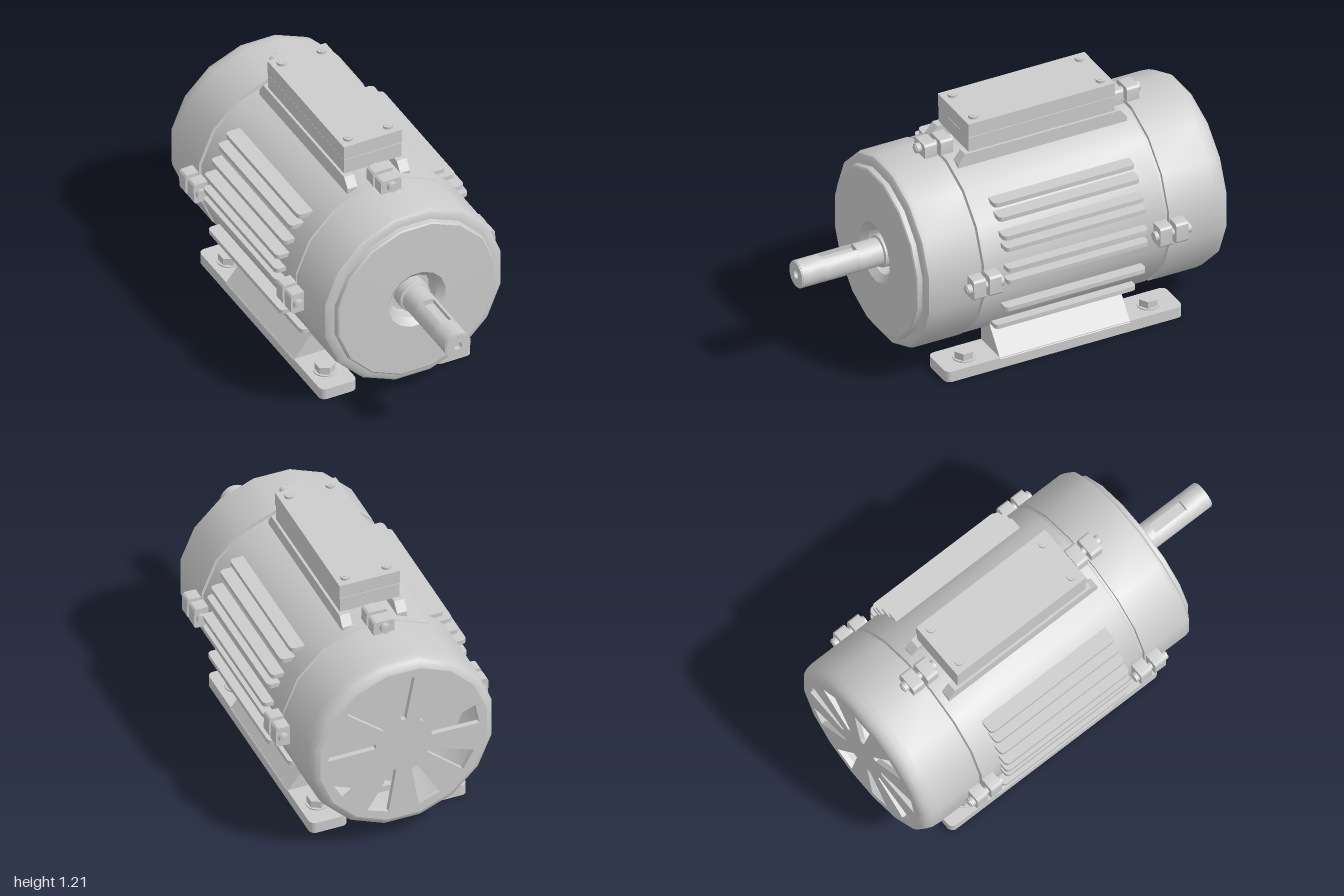
import * as THREE from 'three';
import { toCreasedNormals } from 'three/addons/utils/BufferGeometryUtils.js';

const CY = 0.55;      // motor axis height
const SIDES = 16;
const grey = new THREE.MeshStandardMaterial({ color: 0xcccccc });
const greyDouble = new THREE.MeshStandardMaterial({ color: 0xcccccc, side: THREE.DoubleSide });

function add(parent, name, geo, x = 0, y = 0, z = 0, mat = grey) {
  const m = new THREE.Mesh(geo, mat);
  m.name = name;
  m.position.set(x, y, z);
  parent.add(m);
  return m;
}

// Turned part about the z axis; profile is [radius, z] with rising z
function turned(profile, sides = SIDES, crease = 0.6) {
  const g = new THREE.LatheGeometry(profile.map(p => new THREE.Vector2(...p)), sides, Math.PI / sides);
  g.rotateX(Math.PI / 2);
  return toCreasedNormals(g, crease);
}

function prism(shape, depth, curveSegments = 4) {
  const g = new THREE.ExtrudeGeometry(shape, { depth, bevelEnabled: false, curveSegments });
  return toCreasedNormals(g, 0.6);
}

function polygon(points) {
  return new THREE.Shape(points.map(p => new THREE.Vector2(...p)));
}

function roundedRect(w, h, r) {
  const s = new THREE.Shape(), a = w / 2 - r, b = h / 2 - r, q = Math.PI / 2;
  s.absarc(a, b, r, 0, q);
  s.absarc(-a, b, r, q, 2 * q);
  s.absarc(-a, -b, r, 2 * q, 3 * q);
  s.absarc(a, -b, r, 3 * q, 4 * q);
  return s;
}

// Flat plate lying in xz with rounded corners, base at y = 0
const slab = (w, d, h, r) => prism(roundedRect(w, d, r), h).rotateX(-Math.PI / 2);

function circle(r) {
  const s = new THREE.Shape();
  s.absarc(0, 0, r, 0, Math.PI * 2);
  return s;
}

function buildHousing(root) {
  const body = new THREE.Group();
  body.name = 'housing';
  body.position.y = CY;
  root.add(body);

  add(body, 'statorBody', turned([[0, -0.7], [0.448, -0.7], [0.448, -0.67], [0.463, -0.665],
    [0.463, 0.27], [0.448, 0.275], [0.448, 0.3], [0, 0.3]]));

  // Front end bell with raised face and a conical bearing recess
  add(body, 'frontBell', turned([[0.44, 0.287], [0.466, 0.287], [0.466, 0.53], [0.46, 0.55], [0.445, 0.56],
    [0.415, 0.562], [0.412, 0.585], [0.405, 0.59], [0.148, 0.594], [0.115, 0.565], [0.105, 0.51], [0, 0.51]]));
  add(body, 'shaftCollar', turned([[0.078, 0.5], [0.078, 0.575], [0.068, 0.58], [0, 0.58]]));

  // Rear fan cover: open shell closed by a vented plate
  add(body, 'fanCover', turned([[0.42, -1], [0.437, -0.994], [0.452, -0.98], [0.462, -0.955],
    [0.466, -0.92], [0.466, -0.682], [0.44, -0.682]]), 0, 0, 0, greyDouble);
  const ring = [];
  for (let i = 0; i < SIDES; i++) {
    const a = (i + 0.5) * 2 * Math.PI / SIDES;
    ring.push([0.42 * Math.cos(a), 0.42 * Math.sin(a)]);
  }
  const plate = polygon(ring);
  for (let i = 0; i < 9; i++) {
    const a = Math.PI / 2 + i * 2 * Math.PI / 9, c = Math.cos(a), s = Math.sin(a);
    const wedge = [[0.14, -0.012], [0.37, -0.055], [0.37, 0.055], [0.14, 0.012]];
    plate.holes.push(new THREE.Path(wedge.map(([r, t]) => new THREE.Vector2(r * c - t * s, r * s + t * c))));
  }
  add(body, 'ventPlate', prism(plate, 0.025), 0, 0, -1);

  // Shaft in sections: plain, keyway, plain, drilled tip
  const R = 0.067, half = 0.028, a = Math.asin(half / R), q = Math.PI / 2;
  const keyed = new THREE.Shape();
  keyed.absarc(0, 0, R, q + a, q - a + 2 * Math.PI);
  keyed.lineTo(half, R - 0.028);
  keyed.lineTo(-half, R - 0.028);
  const drilled = circle(R);
  drilled.holes.push(circle(0.02));
  const sections = [[circle(R), 0.5, 0.7], [keyed, 0.7, 0.88], [circle(R), 0.88, 0.975], [drilled, 0.975, 0.995]];
  for (const [shape, z0, z1] of sections) add(body, 'shaft', prism(shape, z1 - z0, 12), 0, 0, z0);
  add(body, 'shaftTip', prism((() => {
    const s = circle(R - 0.004);
    s.holes.push(circle(0.02));
    return s;
  })(), 0.005, 12), 0, 0, 0.995);

  // Bolted lugs around both joints
  const lug = prism(roundedRect(0.104, 0.1, 0.015), 0.062);
  const head = new THREE.CylinderGeometry(0.024, 0.024, 0.025, 12).rotateX(q);
  const socket = new THREE.CylinderGeometry(0.02, 0.02, 0.006, 4).rotateX(q);
  const stud = new THREE.CylinderGeometry(0.018, 0.018, 0.12, 12).rotateX(q);
  for (const [joint, dir] of [[0.285, 1], [-0.675, -1]]) {
    for (let i = 0; i < 4; i++) {
      const clamp = new THREE.Group();
      clamp.name = 'jointClamp';
      clamp.position.z = joint;
      clamp.rotation.z = i * q + 0.02;
      body.add(clamp);
      add(clamp, 'lug', lug, 0, 0.475, 0.01);
      add(clamp, 'lug', lug, 0, 0.475, -0.072);
      add(clamp, 'stud', stud, 0, 0.492, 0);
      add(clamp, 'boltHead', head, 0, 0.492, dir * 0.082);
      add(clamp, 'boltSocket', socket, 0, 0.492, dir * 0.096);
      add(clamp, 'nut', head, 0, 0.492, -dir * 0.078);
    }
  }
}

function buildFins(root) {
  // [height, tip distance] for each side
  const fins = {
    1: [[0.88, 0.37], [0.832, 0.42], [0.755, 0.465], [0.705, 0.485], [0.605, 0.505], [0.54, 0.505], [0.38, 0.48], [0.23, 0.38]],
    [-1]: [[0.868, 0.39], [0.82, 0.43], [0.745, 0.465], [0.675, 0.5], [0.6, 0.505], [0.54, 0.505], [0.36, 0.48], [0.215, 0.375]],
  };
  for (const side of [1, -1]) {
    for (const [y, tip] of fins[side]) {
      const inner = Math.sqrt(0.44 ** 2 - (y - CY) ** 2) - 0.05;
      add(root, 'coolingFin', slab(tip - inner, 0.725, 0.022, 0.022), side * (tip + inner) / 2, y - 0.011, -0.193);
    }
  }
}

function buildTerminalBox(root) {
  const box = new THREE.Group();
  box.name = 'terminalBox';
  box.position.set(-0.013, 0, -0.195);
  root.add(box);
  add(box, 'boxBase', new THREE.BoxGeometry(0.295, 0.075, 0.75), 0, 1.0825, 0);
  add(box, 'gasket', new THREE.BoxGeometry(0.283, 0.012, 0.738), 0, 1.122, 0);
  add(box, 'lid', new THREE.BoxGeometry(0.3, 0.07, 0.755), 0, 1.16, 0);
  // Rails with sloped ends carrying the box
  const rail = prism(polygon([[-0.435, 0.93], [0.435, 0.93], [0.435, 1.0], [0.4, 1.046], [-0.4, 1.046], [-0.435, 1.0]]), 0.05);
  rail.rotateY(-Math.PI / 2).translate(0.025, 0, 0);
  const ring = new THREE.CylinderGeometry(0.023, 0.023, 0.016, 12);
  const hex = new THREE.CylinderGeometry(0.012, 0.012, 0.006, 6);
  for (const sx of [1, -1]) {
    add(box, 'rail', rail, sx * 0.135, 0, 0);
    for (const sz of [1, -1]) {
      add(box, 'lidScrew', ring, sx * 0.102, 1.2, sz * 0.328);
      add(box, 'screwSocket', hex, sx * 0.102, 1.207, sz * 0.328);
    }
  }
}

function buildFeet(root) {
  const plate = slab(0.185, 1.22, 0.056, 0.03);
  const web = [[0.203, 0.05], [0.39, 0.05], [0.285, 0.18], [0.285, 0.21], [0.203, 0.21]];
  const bolt = toCreasedNormals(new THREE.CylinderGeometry(0.048, 0.048, 0.04, 6), 0.5);
  const washer = new THREE.CylinderGeometry(0.055, 0.055, 0.008, 16);
  for (const side of [1, -1]) {
    const foot = new THREE.Group();
    foot.name = 'foot';
    foot.position.x = -0.013;
    root.add(foot);
    add(foot, 'footPlate', plate, side * 0.295, 0, -0.19);
    const pts = web.map(([x, y]) => [side * x, y]);
    add(foot, 'footWeb', prism(polygon(pts), 0.67), 0, 0, -0.525);
    for (const z of [0.285, -0.665]) {
      add(foot, 'washer', washer, side * 0.3, 0.058, z);
      add(foot, 'footBolt', bolt, side * 0.3, 0.077, z);
    }
  }
}

export function createModel() {
  const root = new THREE.Group();
  root.name = 'electricMotor';
  buildHousing(root);
  buildFins(root);
  buildTerminalBox(root);
  buildFeet(root);
  return root;
}
